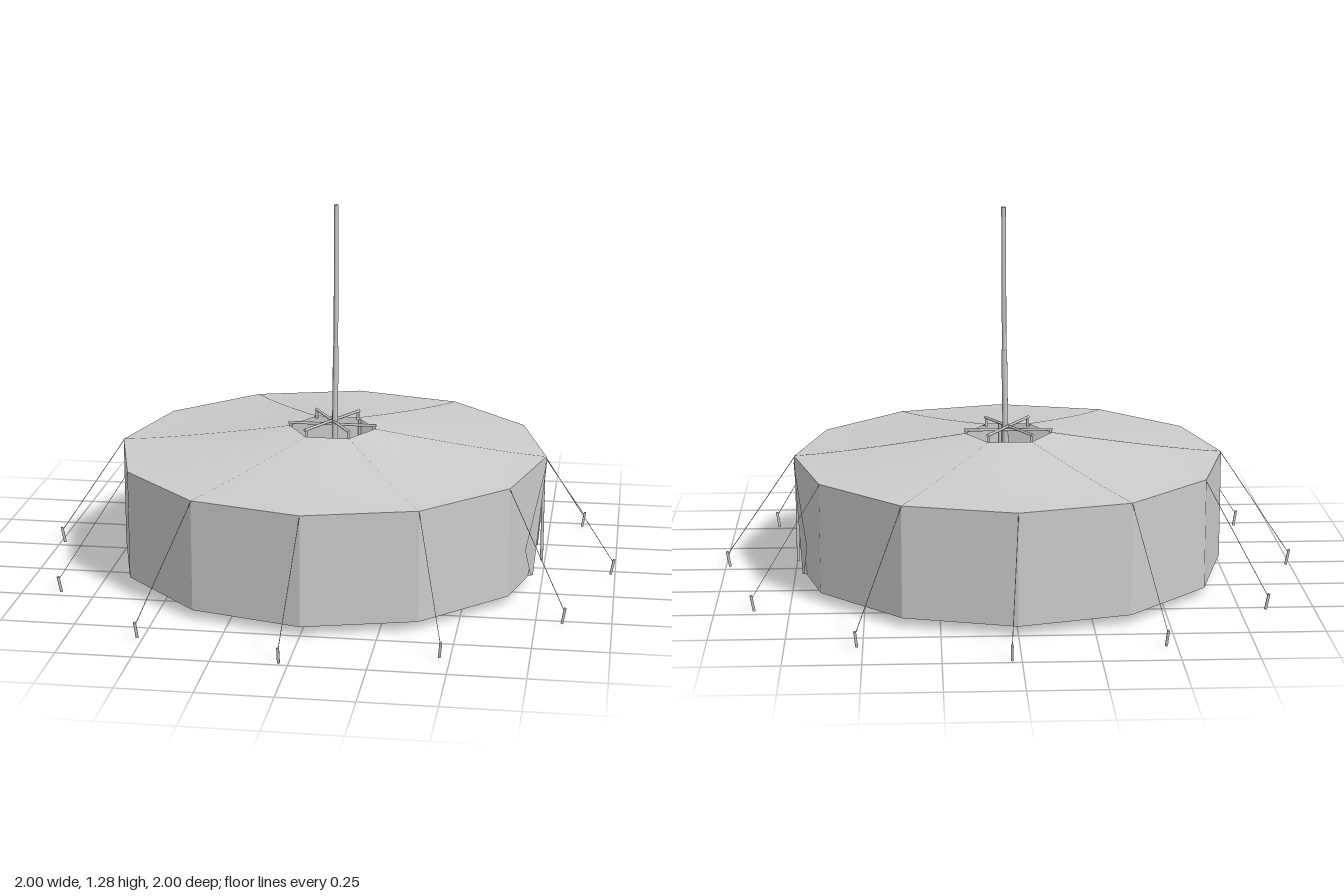
import * as THREE from 'three';

const SIDES = 12, R = 0.75, BASE = 0.03, EAVE = 0.41, CROWN = 0.485;
const V = (x, y, z) => new THREE.Vector3(x, y, z);
const polar = (deg, r, y) => {
  const a = THREE.MathUtils.degToRad(deg);
  return V(r * Math.cos(a), y, r * Math.sin(a));
};

export function createModel() {
  const group = new THREE.Group();
  const solid = new THREE.MeshStandardMaterial({ color: 0xcccccc });
  const cloth = new THREE.MeshStandardMaterial({ color: 0xcccccc, side: THREE.DoubleSide });
  const flatCloth = new THREE.MeshStandardMaterial({ color: 0xcccccc, side: THREE.DoubleSide, flatShading: true });

  const add = (geometry, material, name) => {
    const mesh = new THREE.Mesh(geometry, material);
    mesh.name = name;
    group.add(mesh);
    return mesh;
  };
  // Straight rod between two points
  const rod = (a, b, r, name, sides = 6, rTop = r) => {
    const dir = b.clone().sub(a);
    const mesh = add(new THREE.CylinderGeometry(rTop, r, dir.length(), sides), solid, name);
    mesh.position.copy(a).add(b).multiplyScalar(0.5);
    mesh.quaternion.setFromUnitVectors(V(0, 1, 0), dir.normalize());
  };
  // Flat cloth piece fanned from its first corner
  const sheet = (corners, name) => {
    const pts = [];
    for (let i = 1; i < corners.length - 1; i++) pts.push(corners[0], corners[i], corners[i + 1]);
    const g = new THREE.BufferGeometry().setFromPoints(pts);
    g.computeVertexNormals();
    add(g, flatCloth, name);
  };

  // Roof: concave cone from a twelve-sided eave to a hexagonal opening
  const roofPoint = (i, t) => {
    const inner = i % 2 ? 0.13 : 0.15;
    return polar(i * 30, THREE.MathUtils.lerp(R, inner, t), EAVE + (CROWN - EAVE) * Math.pow(t, 1.25));
  };
  const rings = 10, pts = [], index = [];
  for (let j = 0; j <= rings; j++) {
    for (let i = 0; i < SIDES; i++) {
      pts.push(roofPoint(i, j / rings));
      if (j === rings) continue;
      const a = j * SIDES + i, b = j * SIDES + (i + 1) % SIDES;
      index.push(a, a + SIDES, b, b, a + SIDES, b + SIDES);
    }
  }
  const roof = new THREE.BufferGeometry().setFromPoints(pts);
  roof.setIndex(index);
  roof.computeVertexNormals();
  add(roof, cloth, 'roof');

  // Roof ribs under every second seam
  for (let i = 0; i < SIDES; i += 2) {
    const path = Array.from({ length: 9 }, (_, k) => roofPoint(i, k / 8).add(V(0, -0.003, 0)));
    add(new THREE.TubeGeometry(new THREE.CatmullRomCurve3(path), 16, 0.004, 5), solid, 'roofRib');
  }

  // Wall panels, leaving the two beside the doorway
  for (let i = 1; i < SIDES - 1; i++) {
    const a = i * 30, b = a + 30;
    sheet([polar(a, R, BASE), polar(a, R, EAVE), polar(b, R, EAVE), polar(b, R, BASE)], 'wallPanel');
  }

  // Doorway: cut-back panels with folded flaps, mirrored in z
  for (const s of [1, -1]) {
    const onWall = (z, y, out = 0) => V(R - 0.268 * z + out, y, s * z);
    const apex = onWall(0, 0.39);
    const foot = onWall(0.17, BASE);
    sheet([onWall(0.375, EAVE), onWall(0, EAVE), apex, foot, onWall(0.375, BASE)], 'doorPanel');
    const fold = onWall(0.155, BASE, 0.012);
    sheet([apex, foot, fold], 'flapFold');
    sheet([onWall(0, 0.39, 0.002), fold, onWall(0.18, 0.035, 0.012), onWall(0.27, 0.16, 0.02)], 'doorFlap');
  }

  // Wall posts, guy ropes and stakes
  for (let i = 0; i < SIDES; i++) {
    const a = i * 30, stake = a + 1.8;
    rod(polar(a, R - 0.008, BASE), polar(a, R - 0.008, EAVE - 0.005), 0.006, 'wallPost');
    rod(polar(a, R, EAVE - 0.005), polar(stake, 0.993, 0.045), 0.0012, 'guyRope', 4);
    rod(polar(stake, 0.985, 0), polar(stake, 0.996, 0.055), 0.005, 'stake', 6);
  }

  // Crown: three crossing bars on short struts
  for (let i = 0; i < 6; i++) {
    const y = i % 3 ? 0.51 : 0.497;
    rod(polar(i * 60, 0.147, CROWN - 0.008), polar(i * 60, 0.147, y), 0.005, 'crownStrut');
    if (i < 3) rod(polar(i * 60, 0.155, y), polar(i * 60 + 180, 0.155, y), 0.005, 'crownBar');
  }

  // Centre pole in two slightly leaning lengths
  const joint = V(0.014, 0.78, 0.014);
  rod(V(0.004, 0.01, 0.004), joint, 0.01, 'centrePole', 8);
  rod(joint.clone().add(V(0, -0.02, 0)), V(0.016, 1.28, 0.016), 0.008, 'upperPole', 8);

  return group;
}
